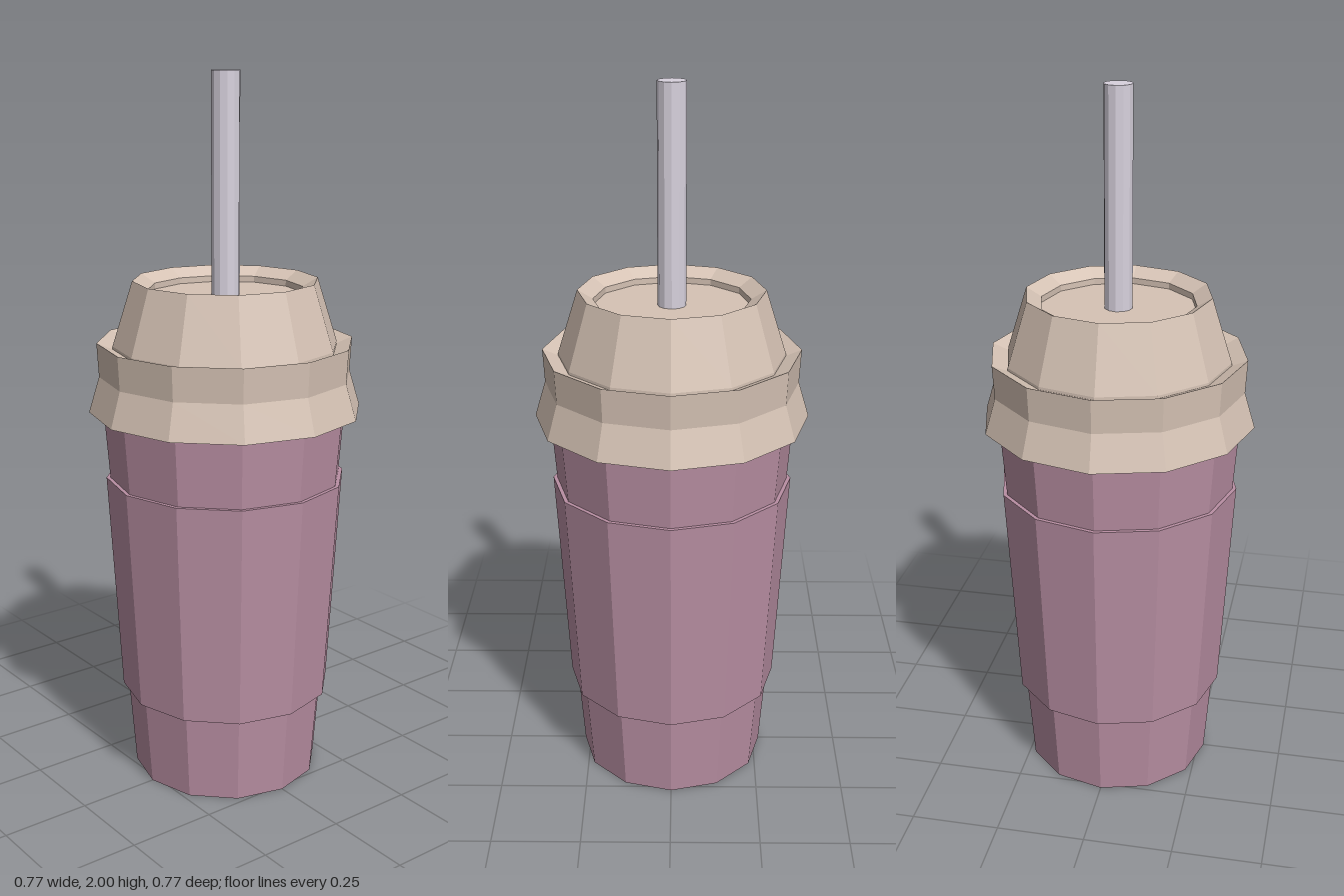
import * as THREE from 'three';

const SIDES = 12;

function material(name, color) {
  const m = new THREE.MeshStandardMaterial({ color, flatShading: true });
  m.name = name;
  return m;
}

// Twelve-sided turned part; the profile runs from the bottom up the outside.
function turned(name, profile, mat) {
  const points = profile.map(([r, y]) => new THREE.Vector2(r, y));
  const mesh = new THREE.Mesh(new THREE.LatheGeometry(points, SIDES), mat);
  mesh.name = name;
  return mesh;
}

export function createModel() {
  const plum = material('plum', 0xb98fa3);
  const beige = material('beige', 0xd6c3b5);
  const paleLilac = material('pale lilac', 0xd8d2de);

  const group = new THREE.Group();
  group.name = 'drinkCup';

  // Tapered cup with a closed base
  group.add(turned('cup', [[0, 0], [0.268, 0], [0.287, 0.25], [0.328, 0.89], [0.344, 1.1], [0, 1.1]], plum));

  // Slightly thicker sleeve around the middle
  group.add(turned('sleeve', [[0.28, 0.252], [0.303, 0.252], [0.339, 0.888], [0.32, 0.888]], plum));

  // Lid skirt with a pinched waist and an inward-sloping lip
  group.add(turned('lidSkirt', [
    [0.33, 1.08], [0.383, 1.08], [0.353, 1.18], [0.358, 1.275], [0.314, 1.257], [0.3, 1.245],
  ], beige));

  // Lid dome with a bevelled rim and a sunken top
  group.add(turned('lidDome', [
    [0.315, 1.24], [0.314, 1.265], [0.257, 1.445], [0.215, 1.42], [0.215, 1.403], [0, 1.403],
  ], beige));

  // Straw
  const straw = new THREE.Mesh(new THREE.CylinderGeometry(0.039, 0.039, 0.64, SIDES), paleLilac);
  straw.name = 'straw';
  straw.position.y = 1.68;
  group.add(straw);

  return group;
}
